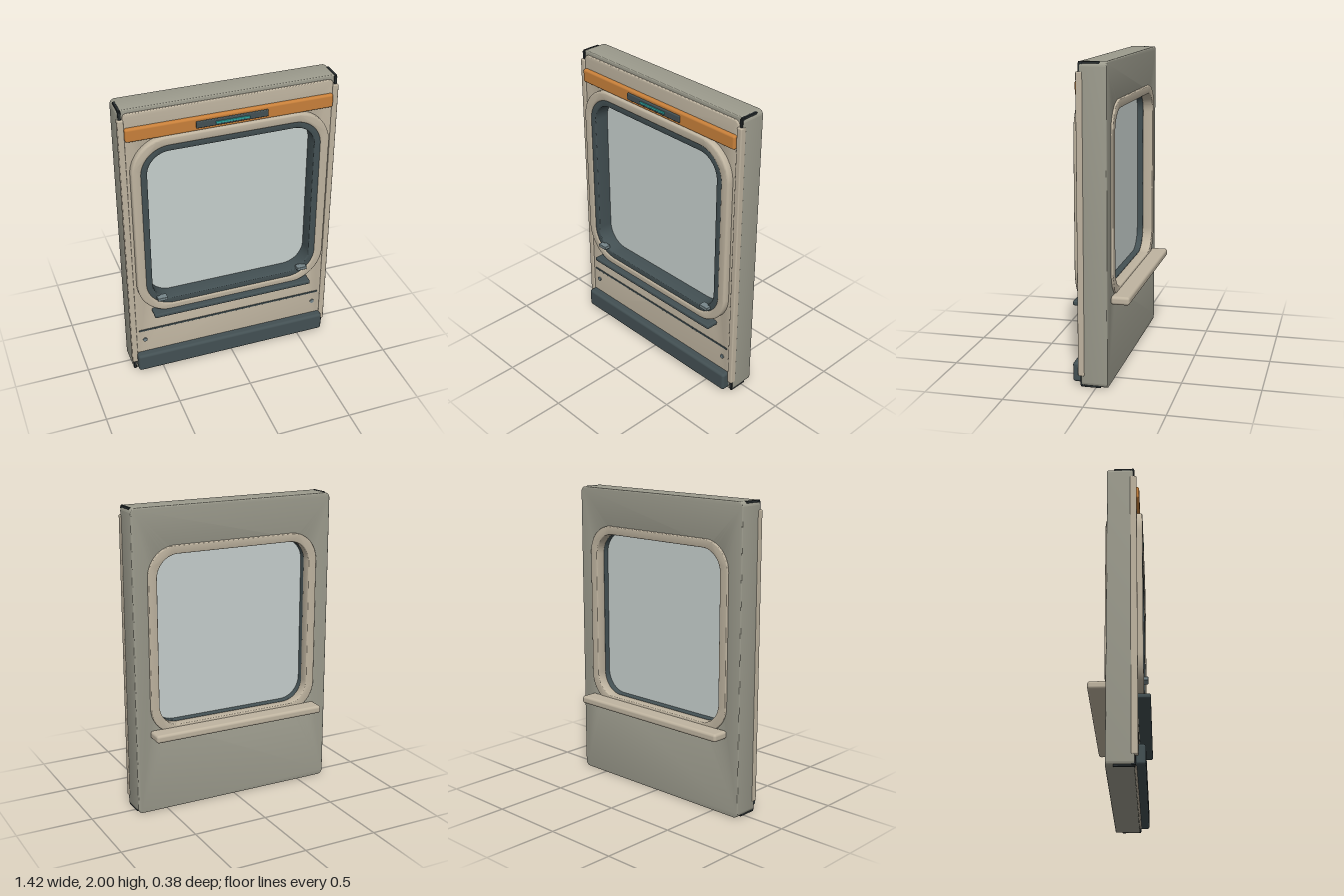
import * as THREE from 'three';
import { toCreasedNormals } from 'three/addons/utils/BufferGeometryUtils.js';
import { RoundedBoxGeometry } from 'three/addons/geometries/RoundedBoxGeometry.js';

const mat = (color) => new THREE.MeshStandardMaterial({ color });

// Rounded rectangle given by its left, bottom, right and top edges
function trace(path, x0, y0, x1, y1, r) {
  path.moveTo(x0 + r, y0);
  path.lineTo(x1 - r, y0);
  path.absarc(x1 - r, y0 + r, r, -Math.PI / 2, 0);
  path.lineTo(x1, y1 - r);
  path.absarc(x1 - r, y1 - r, r, 0, Math.PI / 2);
  path.lineTo(x0 + r, y1);
  path.absarc(x0 + r, y1 - r, r, Math.PI / 2, Math.PI);
  path.lineTo(x0, y0 + r);
  path.absarc(x0 + r, y0 + r, r, Math.PI, Math.PI * 1.5);
  return path;
}

// Plate symmetric in x: outline and hole are [halfWidth, bottom, top, radius]
function plate(outline, hole, z0, z1, bevel) {
  const [w, y0, y1, r] = outline;
  const shape = trace(new THREE.Shape(), -w, y0, w, y1, r);
  if (hole) shape.holes.push(trace(new THREE.Path(), -hole[0], hole[1], hole[0], hole[2], hole[3]));
  const geo = new THREE.ExtrudeGeometry(shape, {
    depth: z1 - z0 - 2 * bevel, curveSegments: 12, bevelEnabled: bevel > 0,
    bevelSize: bevel, bevelThickness: bevel, bevelOffset: -bevel, bevelSegments: 3,
  });
  geo.translate(0, 0, z0 + bevel);
  return toCreasedNormals(geo, 0.6);
}

export function createModel() {
  const group = new THREE.Group();
  const beige = mat(0xbfb4a0), wall = mat(0x9c9b8d), dark = mat(0x435053);
  const black = mat(0x262c2e), orange = mat(0xc8803a), teal = mat(0x2fa8a4);
  const metal = mat(0x76868a), glass = mat(0xc6cfcd);

  const add = (name, geo, material) => {
    const mesh = new THREE.Mesh(geo, material);
    mesh.name = name;
    group.add(mesh);
    return mesh;
  };
  // Rounded box from its ranges in x, y and z
  const box = (name, [x0, x1], [y0, y1], [z0, z1], r, material) => {
    const geo = new RoundedBoxGeometry(x1 - x0, y1 - y0, z1 - z0, 3, r);
    add(name, geo, material).position.set((x0 + x1) / 2, (y0 + y1) / 2, (z0 + z1) / 2);
  };

  // Wall core and front skin, both open behind the window
  const opening = [0.57, 0.56, 1.72, 0.17];
  add('wallCore', plate([0.705, 0, 2, 0.035], opening, -0.075, 0.09, 0.006), wall);
  add('frontPanel', plate([0.675, 0.015, 1.975, 0.03], opening, 0.08, 0.103, 0.006), beige);

  // Window: outer trim, dark gasket, glass and inner trim
  add('outerWindowTrim', plate([0.65, 0.49, 1.8, 0.235], [0.59, 0.545, 1.74, 0.185], 0.09, 0.145, 0.012), beige);
  add('windowGasket', plate([0.595, 0.54, 1.745, 0.19], [0.55, 0.585, 1.7, 0.145], -0.02, 0.138, 0.006), dark);
  add('windowGlass', plate([0.56, 0.575, 1.71, 0.15], null, 0.02, 0.035, 0), glass);
  add('innerWindowTrim', plate([0.605, 0.525, 1.755, 0.19], [0.545, 0.58, 1.7, 0.145], -0.088, -0.02, 0.006), beige);

  // Sills outside and inside
  box('outerSill', [-0.555, 0.555], [0.472, 0.502], [0.09, 0.185], 0.01, dark);
  box('innerLedge', [-0.61, 0.61], [0.512, 0.565], [-0.19, -0.07], 0.018, beige);

  // Header band with its indicator light
  box('headerBand', [-0.67, 0.67], [1.795, 1.885], [0.09, 0.128], 0.014, orange);
  box('indicatorHousing', [-0.232, 0.232], [1.818, 1.863], [0.11, 0.139], 0.006, dark);
  box('indicatorLight', [-0.11, 0.11], [1.832, 1.848], [0.13, 0.145], 0.004, teal);

  // Lower panel: kick plate and seam
  box('kickPlate', [-0.675, 0.675], [0.018, 0.145], [0.085, 0.155], 0.018, dark);
  box('panelSeam', [-0.652, 0.652], [0.319, 0.333], [0.095, 0.108], 0.004, dark);

  for (const side of [-1, 1]) {
    const span = (a, b) => (side > 0 ? [a, b] : [-b, -a]);
    box('sideRail', span(0.67, 0.708), [0.07, 1.94], [0.07, 0.112], 0.008, beige);
    box('windowClip', span(0.46, 0.528), [0.598, 0.621], [0.125, 0.172], 0.004, metal);

    const bolt = add('panelBolt', new THREE.CylinderGeometry(0.014, 0.014, 0.012, 20), metal);
    bolt.rotation.x = Math.PI / 2;
    bolt.position.set(side * 0.613, 0.247, 0.105);

    // Corner brackets, top and bottom
    for (const end of [-1, 1]) {
      const rise = (a, b) => (end > 0 ? [2 - b, 2 - a] : [a, b]);
      box('cornerBracketFront', span(0.681, 0.7), rise(0.008, 0.065), [0.07, 0.099], 0.004, black);
      box('cornerBracketCap', span(0.683, 0.698), rise(0, 0.02), [-0.03, 0.095], 0.003, black);
    }
  }
  return group;
}
